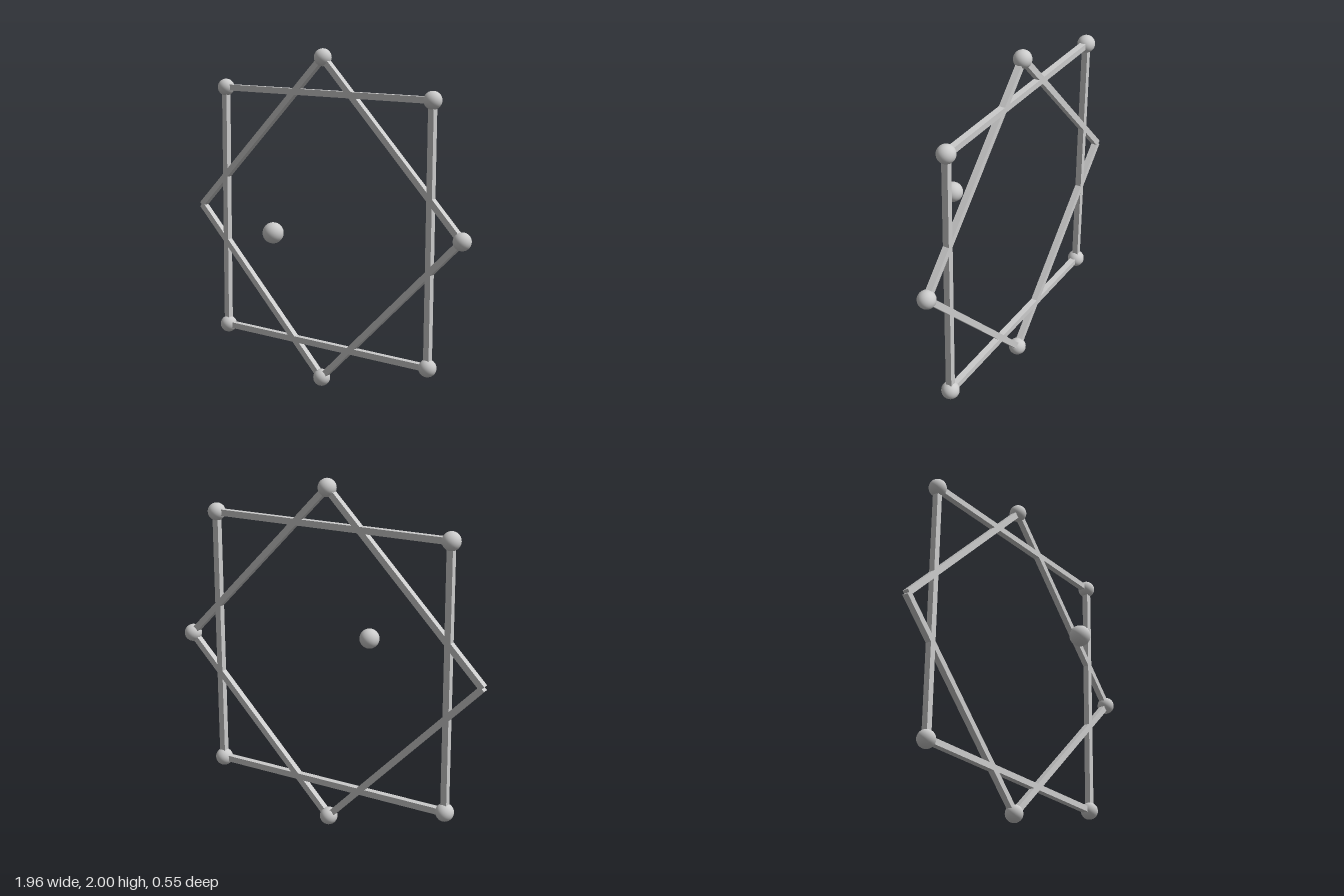
import * as THREE from 'three';

export function createModel() {
  const model = new THREE.Group();
  const material = new THREE.MeshStandardMaterial({ color: 0xcccccc });
  const cx = -0.02, cy = 1, ringZ = -0.226;
  const barWidth = 0.036, radius = 0.949, ballRadius = 0.051;

  const ball = (name, position, r) => {
    const mesh = new THREE.Mesh(new THREE.SphereGeometry(r, 32, 20), material);
    mesh.name = name;
    mesh.position.copy(position);
    return mesh;
  };

  // Square bar with flat ends exactly at the two corners
  const bar = (name, a, b) => {
    const mesh = new THREE.Mesh(new THREE.BoxGeometry(a.distanceTo(b), barWidth, barWidth), material);
    mesh.name = name;
    mesh.position.addVectors(a, b).multiplyScalar(0.5);
    mesh.rotation.z = Math.atan2(b.y - a.y, b.x - a.x);
    return mesh;
  };

  // Frame of four bars with a ball on each corner, except any left bare
  const frame = (name, r, startAngle, bareCorner) => {
    const group = new THREE.Group();
    group.name = name;
    const corners = [0, 1, 2, 3].map((i) => {
      const t = startAngle + (i * Math.PI) / 2;
      return new THREE.Vector3(cx + r * Math.cos(t), cy + r * Math.sin(t), ringZ);
    });
    corners.forEach((corner, i) => {
      group.add(bar('bar', corner, corners[(i + 1) % 4]));
      if (i !== bareCorner) group.add(ball('cornerBall', corner, ballRadius));
    });
    return group;
  };

  // Upright square and diamond interlocked as an eight-pointed star
  model.add(frame('squareFrame', 0.745 * Math.SQRT2, Math.PI / 4, -1));
  model.add(frame('diamondFrame', radius, 0, 2));

  // Free ball in front of the star's centre
  model.add(ball('centreBall', new THREE.Vector3(cx, cy, 0.218), 0.059));

  return model;
}
